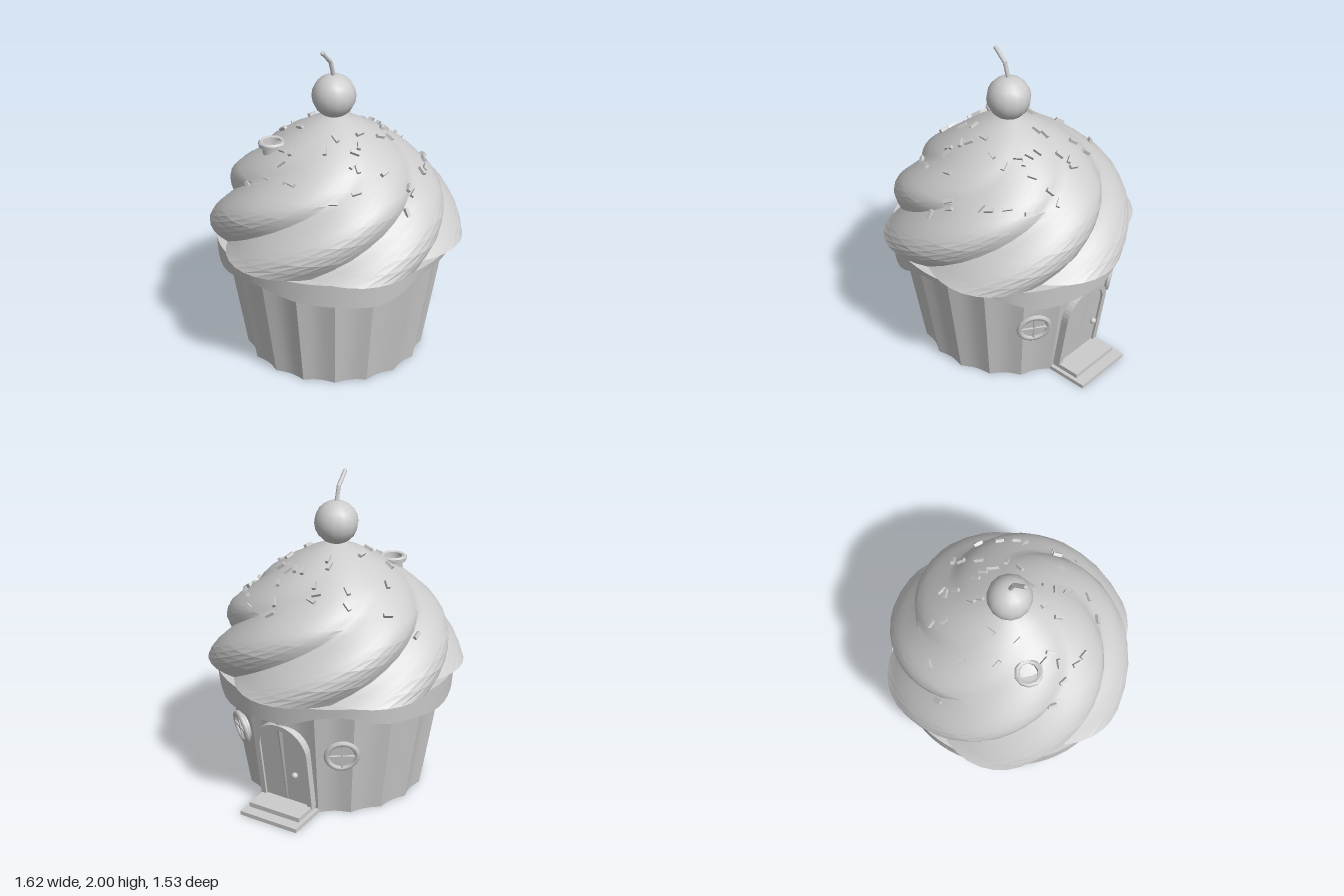
import * as THREE from 'three';
import { toCreasedNormals } from 'three/addons/utils/BufferGeometryUtils.js';

const DEG = Math.PI / 180;
const grey = new THREE.MeshStandardMaterial({ color: 0xcccccc, side: THREE.DoubleSide });
grey.name = 'plain grey';

function add(parent, name, geometry, x = 0, y = 0, z = 0) {
  const mesh = new THREE.Mesh(geometry, grey);
  mesh.name = name;
  mesh.position.set(x, y, z);
  parent.add(mesh);
  return mesh;
}

// Closed loops of points stacked in rows; point(row, k) gives { r, y, a }, a turns from +z to +x
function loft(rows, segments, point, crease) {
  const pos = [], index = [];
  for (let j = 0; j < rows; j++) {
    for (let k = 0; k < segments; k++) {
      const { r, y, a } = point(j, k);
      pos.push(r * Math.sin(a), y, r * Math.cos(a));
      if (j === rows - 1) continue;
      const p = j * segments + k, q = j * segments + (k + 1) % segments;
      index.push(p, q, q + segments, p, q + segments, p + segments);
    }
  }
  const geo = new THREE.BufferGeometry();
  geo.setAttribute('position', new THREE.Float32BufferAttribute(pos, 3));
  geo.setIndex(index);
  return toCreasedNormals(geo, crease);
}

// Frosting profile: height, lobe radius, depth of the grooves between lobes
const SWIRL = [[0.81, 0.81, 0.11], [0.93, 0.775, 0.095], [1.04, 0.73, 0.09], [1.14, 0.67, 0.075],
  [1.22, 0.6, 0.05], [1.35, 0.445, 0.02], [1.45, 0.3, 0.008], [1.52, 0.17, 0], [1.57, 0.05, 0], [1.58, 0, 0]];
const twist = y => (30 + 164 * (y - 0.82)) * DEG;

function frostingRadius(y, a) {
  let i = 0;
  while (i < SWIRL.length - 2 && y > SWIRL[i + 1][0]) i++;
  const [p, q] = [SWIRL[i], SWIRL[i + 1]];
  const t = (y - p[0]) / (q[0] - p[0]);
  const lobe = Math.abs(Math.cos(3 * (a - twist(y))));
  return p[1] + (q[1] - p[1]) * t - (p[2] + (q[2] - p[2]) * t) * (1 - lobe);
}

function frostingHeight(x, z) {
  const r = Math.hypot(x, z), a = Math.atan2(x, z);
  let y = 1.58;
  while (y > 0.82 && frostingRadius(y, a) < r) y -= 0.002;
  return y;
}

// Sprinkles: x, z, turn in degrees
const SPRINKLES = [
  0.09, -0.61, 10, 0.23, -0.49, -45, 0.06, -0.39, 50, -0.13, -0.3, 85, -0.16, -0.135, 80, 0, -0.18, 0,
  -0.5, -0.26, 55, -0.48, -0.12, 80, -0.34, -0.12, 85, -0.34, -0.06, 30, -0.41, -0.07, -35, -0.49, 0.01, 65,
  -0.49, 0.08, 85, -0.26, 0.14, 40, -0.16, 0.14, 70, -0.015, 0.205, -5, 0.105, 0.265, -20, 0.2, 0.265, -70,
  0.27, 0.17, -50, 0.23, 0.18, 40, 0.28, 0.06, 15, 0.27, 0.12, 20, 0.17, -0.05, 15, 0.21, -0.08, 5,
  0.345, -0.06, 20, 0.39, -0.1, -60, 0.43, -0.09, 75, 0.29, -0.25, 55, 0.36, -0.29, 70, 0.355, 0.19, 30,
  0.46, 0.15, 25, 0.52, 0.14, -60, 0.46, 0.33, 55, 0.36, 0.41, 50, 0.23, 0.495, 80, 0.28, 0.48, 35,
  0.02, 0.55, 40, 0.045, 0.57, 20, -0.07, 0.61, 80, -0.085, 0.45, 5, -0.3, 0.415, -30, -0.42, 0.34, -50,
  -0.21, 0.31, 15, -0.145, 0.275, -60, -0.09, 0.26, 40, -0.2, 0.34, 60];

// Lower edge of the icing rim, every 30 degrees from the front
const DRIPS = [0.765, 0.765, 0.655, 0.665, 0.75, 0.67, 0.64, 0.68, 0.66, 0.71, 0.66, 0.635];
function dripEdge(k, segments) {
  const u = k / segments * DRIPS.length, i = Math.floor(u);
  const t = (1 - Math.cos((u - i) * Math.PI)) / 2;
  return DRIPS[i] * (1 - t) + DRIPS[(i + 1) % DRIPS.length] * t;
}

// Arched outline standing on y = 0.05
function arch(Type, w, top) {
  const s = new Type();
  s.moveTo(-w, 0.05);
  s.lineTo(w, 0.05);
  s.lineTo(w, top - w);
  s.absarc(0, top - w, w, 0, Math.PI, false);
  s.lineTo(-w, 0.05);
  return s;
}

function buildDoor() {
  const lean = new THREE.Group();
  lean.name = 'door';
  lean.position.set(0.57, 0, 0);
  lean.rotation.z = -0.15;
  const door = new THREE.Group();
  door.name = 'doorParts';
  door.rotation.y = Math.PI / 2;
  lean.add(door);
  const frame = arch(THREE.Shape, 0.185, 0.625);
  frame.holes.push(arch(THREE.Path, 0.15, 0.59));
  const opts = depth => ({ depth, bevelEnabled: false, curveSegments: 10 });
  add(door, 'doorFrame', new THREE.ExtrudeGeometry(frame, opts(0.1)), 0, 0, -0.08);
  add(door, 'doorPanel', new THREE.ExtrudeGeometry(arch(THREE.Shape, 0.152, 0.592), opts(0.085)), 0, 0, -0.08);
  add(door, 'doorKnob', new THREE.SphereGeometry(0.021, 10, 8), 0.09, 0.285, 0.028);
  return lean;
}

function buildWindow(angle) {
  const win = new THREE.Group();
  win.name = 'roundWindow';
  win.rotation.order = 'YXZ';
  win.rotation.set(0.16, angle, 0);
  win.position.set(0.65 * Math.sin(angle), 0.445, 0.65 * Math.cos(angle));
  add(win, 'windowRing', new THREE.TorusGeometry(0.092, 0.018, 6, 20));
  const pane = add(win, 'windowPane', new THREE.CylinderGeometry(0.09, 0.09, 0.04, 20), 0, 0, -0.018);
  pane.rotation.x = Math.PI / 2;
  add(win, 'windowBar', new THREE.BoxGeometry(0.17, 0.012, 0.014), 0, 0, 0.006);
  add(win, 'windowBar', new THREE.BoxGeometry(0.012, 0.17, 0.014), 0, 0, 0.006);
  return win;
}

function buildChimney() {
  const chimney = new THREE.Group();
  chimney.name = 'chimney';
  chimney.position.set(-0.31, 0, -0.235);
  const profile = [[0.055, 1.26], [0.062, 1.395], [0.085, 1.4], [0.087, 1.425], [0.075, 1.435],
    [0.058, 1.43], [0.055, 1.38], [0, 1.38]].map(p => new THREE.Vector2(...p));
  add(chimney, 'chimneyPot', toCreasedNormals(new THREE.LatheGeometry(profile, 10), 0.7));
  return chimney;
}

export function createModel() {
  const model = new THREE.Group();
  model.name = 'cupcakeHouse';

  // Fluted paper cup, 18 concave pleats with sharp ridges
  const per = 6, cupSegs = 18 * per;
  const cup = loft(2, cupSegs, (j, k) => {
    const y = j * 0.8;
    const hollow = 0.026 * Math.sin((k % per) / per * Math.PI);
    return { r: 0.577 + 0.16 * y - hollow, y, a: (10 + k * 360 / cupSegs) * DEG };
  }, 0.35);
  add(model, 'cup', cup);
  const base = loft(2, cupSegs, (j, k) => ({
    r: j * (0.577 - 0.026 * Math.sin((k % per) / per * Math.PI)), y: 0, a: (10 + k * 360 / cupSegs) * DEG,
  }), 0.35);
  add(model, 'cupBase', base);

  // Icing rim with a dripping lower edge
  const rimRadius = [0.715, 0.715, 0.742, 0.752, 0.6];
  const rim = loft(5, 72, (j, k) => ({
    r: rimRadius[j], y: j === 1 || j === 2 ? dripEdge(k, 72) : 0.808, a: k * 5 * DEG,
  }), 0.6);
  add(model, 'icingRim', rim);

  // Twisted frosting with a flat underside
  const heights = [0.81, 0.87, 0.93, 0.985, 1.04, 1.09, 1.14, 1.18, 1.22, 1.285, 1.35, 1.4, 1.45, 1.52, 1.57, 1.58];
  const frosting = loft(heights.length + 1, 60, (j, k) => {
    const y = heights[Math.max(j - 1, 0)], a = twist(y) + k * 6 * DEG;
    return { r: j === 0 ? 0 : frostingRadius(y, a), y, a };
  }, 0.6);
  add(model, 'frosting', frosting);

  // Sprinkles lying on the frosting
  const bar = new THREE.BoxGeometry(0.056, 0.022, 0.022), up = new THREE.Vector3(0, 1, 0);
  for (let i = 0; i < SPRINKLES.length; i += 3) {
    const [x, z, turn] = SPRINKLES.slice(i, i + 3), e = 0.04;
    const normal = new THREE.Vector3(
      frostingHeight(x - e, z) - frostingHeight(x + e, z), 2 * e,
      frostingHeight(x, z - e) - frostingHeight(x, z + e)).normalize();
    const s = add(model, 'sprinkle', bar, x, frostingHeight(x, z), z);
    s.position.addScaledVector(normal, 0.008);
    s.quaternion.setFromUnitVectors(up, normal);
    s.rotateY(turn * DEG);
  }

  // Cherry and bent stem
  add(model, 'cherry', new THREE.SphereGeometry(0.136, 14, 10), -0.008, 1.695, 0);
  const bends = [[-0.005, 1.8], [-0.038, 1.915], [-0.112, 1.99]].map(p => new THREE.Vector3(...p, 0));
  for (let i = 0; i < 2; i++) {
    add(model, 'cherryStem', new THREE.TubeGeometry(new THREE.LineCurve3(bends[i], bends[i + 1]), 1, 0.013, 8));
  }
  add(model, 'stemTip', new THREE.SphereGeometry(0.013, 8, 6), -0.112, 1.987, 0);

  // House details on the left side
  model.add(buildDoor(), buildWindow(56 * DEG), buildWindow(124 * DEG), buildChimney());
  add(model, 'lowerStep', new THREE.BoxGeometry(0.27, 0.026, 0.405), 0.675, 0.013, 0);
  add(model, 'upperStep', new THREE.BoxGeometry(0.22, 0.03, 0.36), 0.63, 0.043, 0);
  return model;
}
